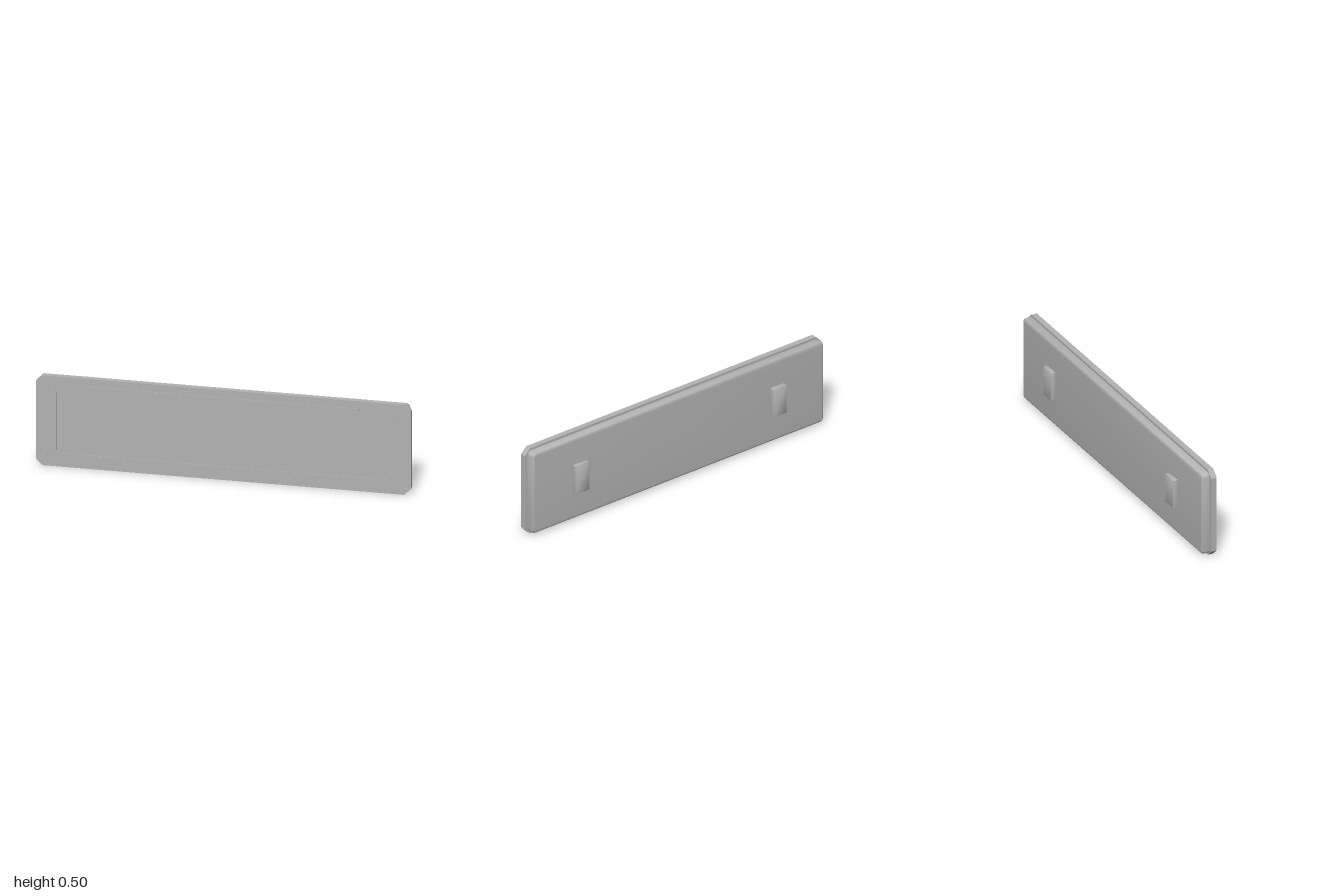
import * as THREE from 'three';
import { toCreasedNormals } from 'three/addons/utils/BufferGeometryUtils.js';

// Rectangle with cut corners, centred on the origin
function cutRect(w, h, c, Type = THREE.Shape) {
  const x = w / 2, y = h / 2;
  return new Type([
    [-x + c, -y], [x - c, -y], [x, -y + c], [x, y - c],
    [x - c, y], [-x + c, y], [-x, y - c], [-x, -y + c],
  ].map(([a, b]) => new THREE.Vector2(a, b)));
}

// Rectangle with rounded corners, centred on the origin
function roundRect(w, h, r) {
  const x = w / 2, y = h / 2, s = new THREE.Shape();
  s.absarc(x - r, y - r, r, 0, Math.PI / 2);
  s.absarc(-x + r, y - r, r, Math.PI / 2, Math.PI);
  s.absarc(-x + r, -y + r, r, Math.PI, Math.PI * 1.5);
  s.absarc(x - r, -y + r, r, Math.PI * 1.5, Math.PI * 2);
  s.closePath();
  return s;
}

export function createModel() {
  const group = new THREE.Group();
  const grey = new THREE.MeshStandardMaterial({ color: 0xb3b3b3 });
  grey.name = 'plain grey';
  const midY = 0.251;

  const add = (name, geometry, x, y, z) => {
    const mesh = new THREE.Mesh(geometry, grey);
    mesh.name = name;
    mesh.position.set(x, y, z);
    group.add(mesh);
    return mesh;
  };
  const extrude = (shape, depth) =>
    new THREE.ExtrudeGeometry(shape, { depth, bevelEnabled: false, curveSegments: 6 });

  // Front frame with cut corners and an opening
  const frame = cutRect(2, 0.5, 0.035);
  frame.holes.push(cutRect(1.784, 0.35, 0.015, THREE.Path));
  add('frontFrame', extrude(frame, 0.032), 0, 0.25, 0.016);

  // Slightly sunken panel filling the opening
  add('frontPanel', extrude(cutRect(1.784, 0.35, 0.015), 0.028), 0, 0.25, 0.016);

  // Rear housing: only its back rim is rounded
  const r = 0.015;
  const housing = new THREE.ExtrudeGeometry(roundRect(1.966 - 2 * r, 0.472 - 2 * r, 0.008), {
    depth: 0.05, bevelThickness: r, bevelSize: r, bevelSegments: 5, curveSegments: 6,
  });
  // Flatten the front bevel into the frame so the sides stay straight
  const p = housing.attributes.position;
  for (let i = 0; i < p.count; i++) p.setZ(i, Math.min(p.getZ(i), 0.034));
  add('rearHousing', toCreasedNormals(housing, 0.6), 0, midY, -0.013);

  // Two mounting blocks on the back, with a small rear chamfer
  for (const side of [-1, 1]) {
    const block = new THREE.ExtrudeGeometry(roundRect(0.086, 0.161, 0.001), {
      depth: 0.024, bevelThickness: 0.003, bevelSize: 0.002, bevelSegments: 2, curveSegments: 2,
    });
    add('mountingBlock', toCreasedNormals(block, 0.6), side * 0.666, midY, -0.049);
  }

  // Thin raised strip above the panel with end caps and an indicator
  add('strip', new THREE.BoxGeometry(1.45, 0.008, 0.006), -0.005, 0.454, 0.049);
  for (const x of [-0.73, 0.72])
    add('stripEnd', new THREE.BoxGeometry(0.006, 0.012, 0.006), x, 0.455, 0.0485);
  const indicator = new THREE.CylinderGeometry(0.005, 0.005, 0.008, 16).rotateX(Math.PI / 2);
  add('indicator', indicator, -0.75, 0.462, 0.049);

  // Small domed studs in the frame corners
  const stud = new THREE.SphereGeometry(0.005, 16, 8, 0, Math.PI * 2, 0, Math.PI / 2)
    .rotateX(Math.PI / 2).scale(1, 1, 0.7);
  for (const x of [-0.935, 0.935])
    for (const y of [0.065, 0.435]) add('cornerStud', stud, x, y, 0.048);

  return group;
}
